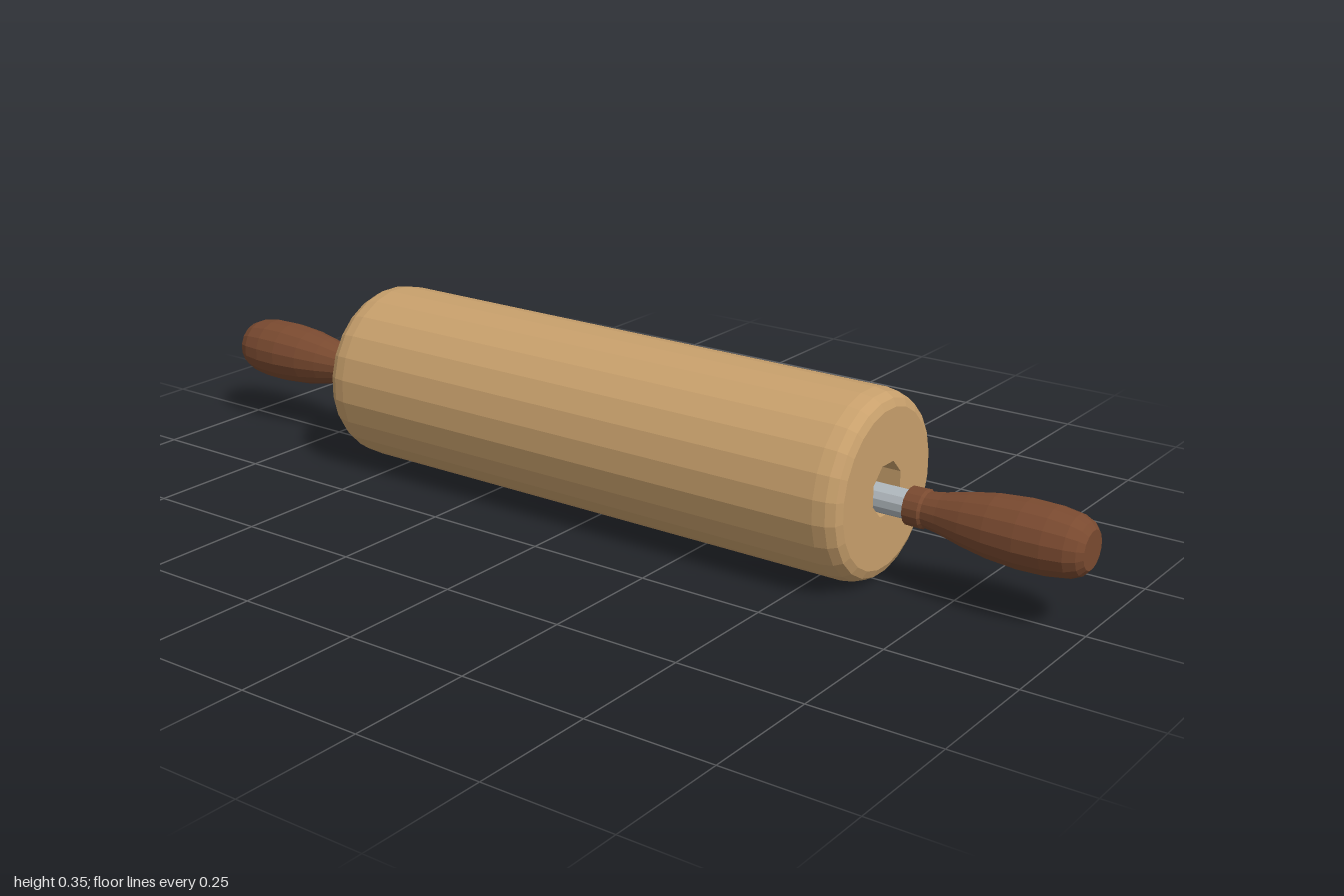
import * as THREE from 'three';

const flat = (color, side = THREE.FrontSide) =>
  new THREE.MeshStandardMaterial({ color, side, flatShading: true });

// Faceted solid of revolution along x, with a flat facing straight up
function turned(profile, sides) {
  const points = profile.map(([x, r]) => new THREE.Vector2(r, x));
  return new THREE.LatheGeometry(points, sides, Math.PI / sides).rotateZ(-Math.PI / 2);
}

// Corners of a regular polygon with a flat on top
function polygon(radius, sides) {
  return Array.from({ length: sides }, (_, i) => {
    const a = ((i + 0.5) / sides) * Math.PI * 2;
    return new THREE.Vector2(Math.cos(a) * radius, Math.sin(a) * radius);
  });
}

export function createModel() {
  const model = new THREE.Group();
  const add = (name, geometry, material, parent) => {
    const mesh = new THREE.Mesh(geometry, material);
    mesh.name = name;
    parent.add(mesh);
    return mesh;
  };

  const paleWood = flat(0xc8a06c);
  const darkWood = flat(0x7a4a30);
  const metal = flat(0xb0b8bd);

  const half = 0.605, endRadius = 0.151, boreRadius = 0.052;

  // Hollow roller: rounded barrel, two ring-shaped ends and an octagonal bore
  const roller = new THREE.Group();
  roller.name = 'roller';
  roller.position.y = 0.178;
  model.add(roller);

  const rim = [[0.558, 0.179], [0.582, 0.175], [0.598, 0.166], [half, endRadius]];
  const barrel = [...rim.map(([x, r]) => [-x, r]).reverse(), ...rim];
  add('barrel', turned(barrel, 24), paleWood, roller);

  const ring = new THREE.Shape(polygon(endRadius, 24));
  ring.holes.push(new THREE.Path(polygon(boreRadius, 8)));
  for (const s of [1, -1]) {
    const end = add(s > 0 ? 'leftEnd' : 'rightEnd', new THREE.ShapeGeometry(ring), paleWood, roller);
    end.position.x = s * half;
    end.rotation.y = (s * Math.PI) / 2;
  }
  add('bore', turned([[half, boreRadius], [-half, boreRadius]], 8), flat(0xc8a06c, THREE.DoubleSide), roller);

  // Axle lies low in the bore and carries both handles
  const axle = new THREE.Group();
  axle.name = 'axleAssembly';
  axle.position.y = 0.159;
  model.add(axle);
  add('rod', turned([[-0.67, 0], [-0.67, 0.027], [0.67, 0.027], [0.67, 0]], 12), metal, axle);

  // Handle: collar, slim neck, swelling grip and blunt tip
  const grip = [
    [0.655, 0], [0.655, 0.036], [0.685, 0.037], [0.69, 0.033], [0.72, 0.038],
    [0.77, 0.05], [0.82, 0.059], [0.88, 0.064], [0.93, 0.063], [0.97, 0.057],
    [0.99, 0.048], [1.0, 0.036], [1.0, 0],
  ];
  const handle = turned(grip, 16);
  add('leftHandle', handle, darkWood, axle);
  add('rightHandle', handle, darkWood, axle).rotation.y = Math.PI;

  return model;
}
